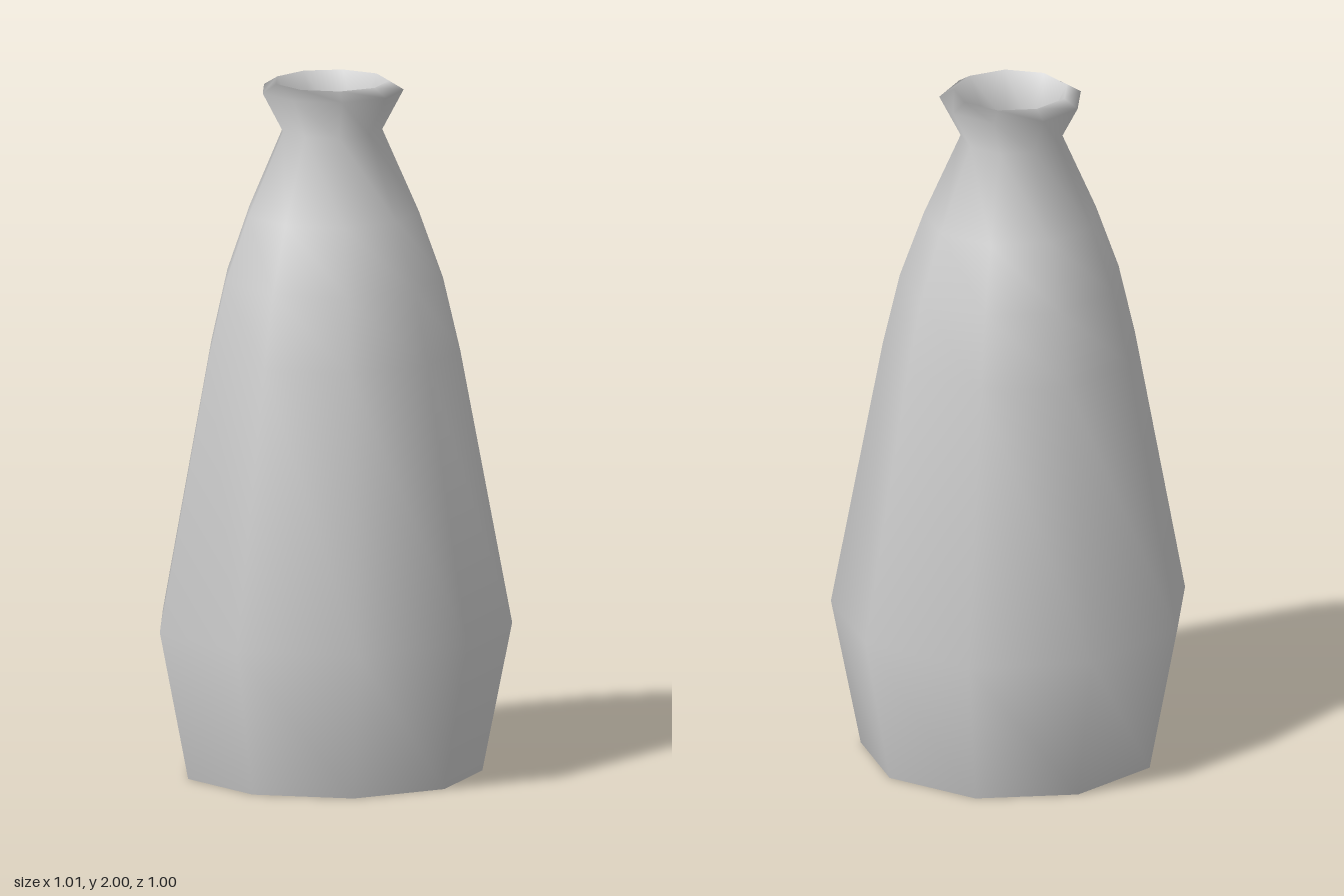
import * as THREE from 'three';

const SIDES = 9;

// Nine-sided turned surface with one corner pointing straight back
function turned(name, profile, material) {
  const points = profile.map(([r, y]) => new THREE.Vector2(r, y));
  const mesh = new THREE.Mesh(new THREE.LatheGeometry(points, SIDES, Math.PI), material);
  mesh.name = name;
  return mesh;
}

export function createModel() {
  const material = new THREE.MeshStandardMaterial({ color: 0xcccccc });
  const bottle = new THREE.Group();
  bottle.name = 'bottle';

  // Outer body, neck and flared lip, then back down the hollow inside
  bottle.add(turned('bottleWall', [
    [0.43, 0], [0.515, 0.43], [0.367, 1.22], [0.318, 1.43], [0.25, 1.62],
    [0.145, 1.86], [0.206, 1.975], [0.165, 2.0],
    [0.09, 1.86], [0.2, 1.6], [0.265, 1.41], [0.315, 1.2], [0.46, 0.43], [0.385, 0.05],
  ], material));

  // Flat underside and inner floor, kept apart for a sharp edge
  bottle.add(turned('base', [[0, 0], [0.43, 0]], material));
  bottle.add(turned('innerFloor', [[0.385, 0.05], [0, 0.05]], material));

  // Centre the odd-sided outline front to back
  bottle.children.forEach((part) => { part.position.z = 0.0155; });
  return bottle;
}
